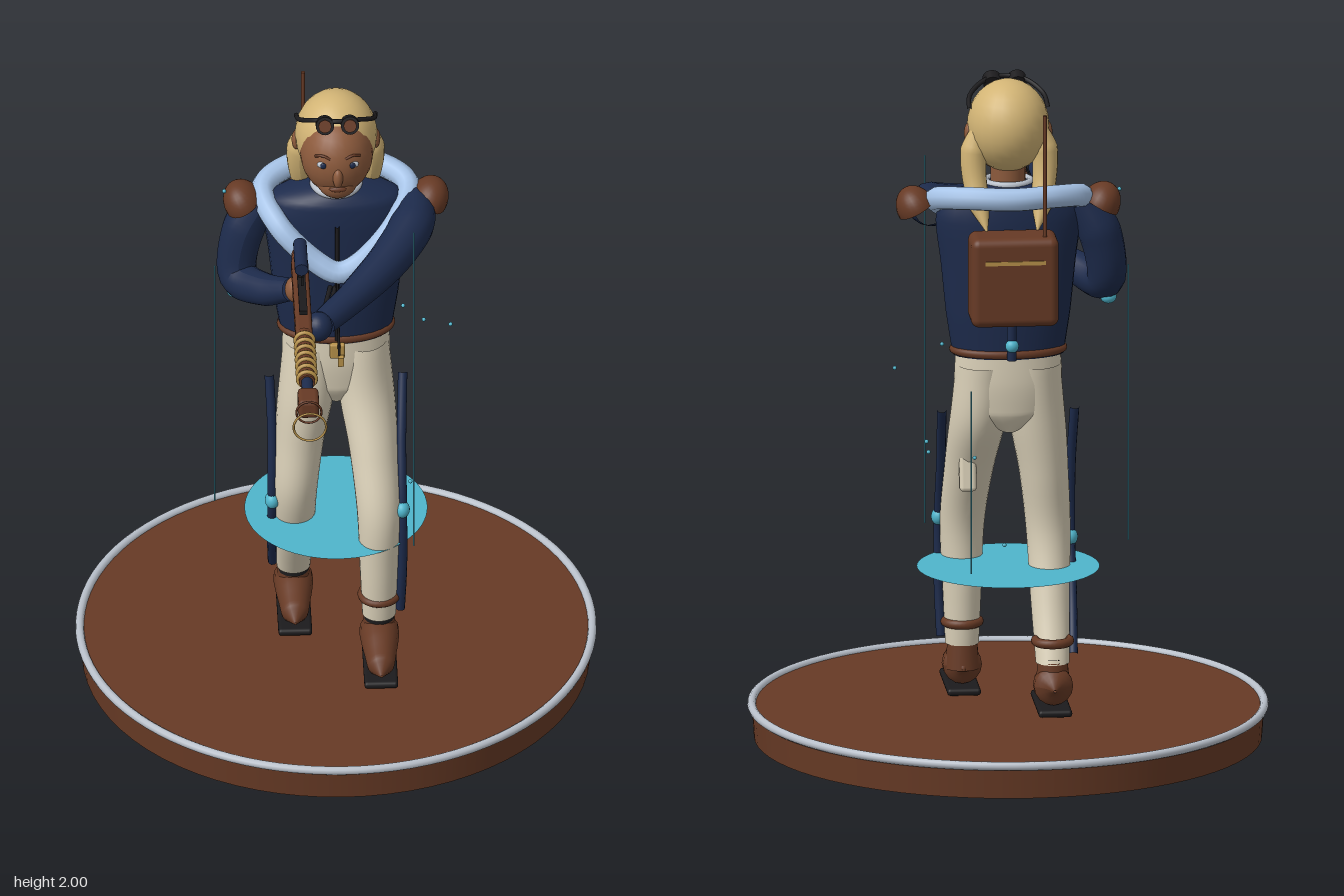
import * as THREE from 'three';
import { RoundedBoxGeometry } from 'three/addons/geometries/RoundedBoxGeometry.js';

const mat = (name, color, side = THREE.FrontSide) => {
  const m = new THREE.MeshStandardMaterial({ color, side });
  m.name = name;
  return m;
};
const V = (p) => new THREE.Vector3(p[0], p[1], p[2]);

export function createModel() {
  const root = new THREE.Group();
  const skin = mat('skin', 0x8c5a3c), hair = mat('hair', 0xd2b475), cream = mat('cream', 0xdad0b8);
  const navy = mat('navy', 0x1d2b4c), brown = mat('brown', 0x673a25, THREE.DoubleSide);
  const teal = mat('teal', 0x4fb5cc, THREE.DoubleSide), blue = mat('lightBlue', 0xa9c6ea);
  const black = mat('black', 0x1c1b1d), gold = mat('gold', 0xb8924a), silver = mat('silver', 0xb9c0ca);

  const add = (name, geo, m, pos = [0, 0, 0], rot = [0, 0, 0], scale = [1, 1, 1]) => {
    const o = new THREE.Mesh(geo, m);
    o.name = name;
    o.position.set(...pos);
    o.rotation.set(...rot);
    o.scale.set(...scale);
    root.add(o);
    return o;
  };
  const ball = (name, m, pos, size) => add(name, new THREE.SphereGeometry(1, 24, 16), m, pos, [0, 0, 0], size);
  const box = (name, m, pos, s, rot) => add(name, new THREE.BoxGeometry(...s), m, pos, rot);
  const rod = (name, m, pos, r, len, rot, r2 = r) =>
    add(name, new THREE.CylinderGeometry(r2, r, len, 20), m, pos, rot);
  const alongZ = [Math.PI / 2, 0, 0];
  const tube = (name, m, pts, r, closed = false, n = 48) =>
    add(name, new THREE.TubeGeometry(new THREE.CatmullRomCurve3(pts.map(V), closed), n, r, 10, closed), m);

  // Tube whose radius follows a list of values from start to end
  const taper = (name, m, pts, radii) => {
    const n = 32, ring = 17, curve = new THREE.CatmullRomCurve3(pts.map(V));
    const g = new THREE.TubeGeometry(curve, n, 1, ring - 1), p = g.attributes.position, v = new THREE.Vector3();
    for (let i = 0; i < p.count; i++) {
      const t = Math.floor(i / ring) / n, f = t * (radii.length - 1), k = Math.min(Math.floor(f), radii.length - 2);
      const c = curve.getPointAt(t);
      v.fromBufferAttribute(p, i).sub(c).multiplyScalar(THREE.MathUtils.lerp(radii[k], radii[k + 1], f - k)).add(c);
      p.setXYZ(i, v.x, v.y, v.z);
    }
    g.computeVertexNormals();
    return add(name, g, m);
  };

  // Smooth stack of level ellipses [x, y, z, rx, rz], lowest first
  const loft = (name, m, rows) => {
    const path = new THREE.CatmullRomCurve3(rows.map(V));
    const size = new THREE.CatmullRomCurve3(rows.map((r) => new THREE.Vector3(r[3], r[4], 0)));
    const n = 30, seg = 28, pos = [], idx = [];
    for (let j = 0; j <= n; j++) {
      const c = path.getPoint(j / n), s = size.getPoint(j / n);
      for (let i = 0; i < seg; i++) {
        const a = (i / seg) * Math.PI * 2;
        pos.push(c.x + s.x * Math.cos(a), c.y, c.z + s.y * Math.sin(a));
        if (j === n) continue;
        const A = j * seg + i, B = j * seg + ((i + 1) % seg);
        idx.push(A, A + seg, B, B, A + seg, B + seg);
      }
    }
    const g = new THREE.BufferGeometry();
    g.setAttribute('position', new THREE.Float32BufferAttribute(pos, 3));
    g.setIndex(idx);
    g.computeVertexNormals();
    return add(name, g, m);
  };

  // Display base with rim, floating disc, light lines and sparks
  rod('base', brown, [0, 0.05, -0.155], 0.757, 0.1).geometry = new THREE.CylinderGeometry(0.757, 0.75, 0.1, 72);
  add('baseRim', new THREE.TorusGeometry(0.757, 0.013, 10, 96), silver, [0, 0.1, -0.155], alongZ);
  add('floatingDisc', new THREE.CircleGeometry(0.27, 64), teal, [0, 0.52, -0.16], [-Math.PI / 2, 0, 0]);
  for (const [x, z, top] of [[-0.36, -0.12, 1.42], [0.22, 0.135, 1.7], [0.14, -0.485, 1.135]])
    rod('lightLine', teal, [x, (top + 0.58) / 2, z], 0.0022, top - 0.58);
  for (const p of [[0.2, 1.21, -0.2], [0.34, 1.14, -0.2], [0.27, 0.98, -0.46], [0.05, 0.69, -0.58],
    [0.13, 0.935, -0.49], [0.21, 0.8, 0.12], [-0.33, 1.66, -0.16]]) ball('spark', teal, p, [0.006, 0.006, 0.006]);

  // Legs, side stripes and boots: [side, ankle z, shin z, knee z, thigh z, foot z, knee y]
  for (const [s, az, cz, kz, tz, fz, ky] of [
    [1, -0.003, 0.0, -0.005, -0.07, 0, 0.63], [-1, -0.262, -0.18, -0.125, -0.132, -0.285, 0.59]]) {
    const x = s * 0.122;
    loft('trouserLeg', cream, [[x, 0.25, az, 0.05, 0.05], [x, 0.43, cz, 0.058, 0.064], [x, 0.62, kz, 0.066, 0.075],
      [s * 0.108, 0.8, tz, 0.073, 0.086], [s * 0.088, 0.97, -0.14, 0.083, 0.097], [s * 0.075, 1.14, -0.16, 0.08, 0.095]]);
    const lx = s * 0.19;
    tube('sideStripe', navy, [[s * 0.197, 1, -0.16], [lx, 0.82, tz + 0.01], [lx, ky, kz + 0.02],
      [lx, 0.43, cz + 0.02], [s * 0.184, 0.27, az + 0.01]], 0.014);
    ball('kneeLight', teal, [lx, ky, kz + 0.022], [0.022, 0.026, 0.026]);
    add('ankleStrap', new THREE.TorusGeometry(0.05, 0.014, 10, 32), brown, [x, 0.315, az], alongZ);
    rod('bootCuff', black, [x, 0.25, az], 0.045, 0.03);
    taper('boot', brown, [[x, 0.18, fz - 0.06], [x, 0.185, fz - 0.04], [x, 0.18, fz + 0.04], [x, 0.165, fz + 0.12],
      [x, 0.15, fz + 0.19]], [0.004, 0.058, 0.058, 0.053, 0.046, 0.04, 0.004]);
    rod('bootAnkle', brown, [x, 0.215, az - 0.005], 0.052, 0.08, [0, 0, 0], 0.044);
    add('sole', new RoundedBoxGeometry(0.1, 0.022, 0.27, 2, 0.01), black, [x, 0.115, fz + 0.055]);
  }
  loft('hips', cream, [[0, 0.94, -0.16, 0.03, 0.06], [0, 1.0, -0.16, 0.14, 0.09], [0, 1.1, -0.16, 0.16, 0.098],
    [0, 1.19, -0.16, 0.155, 0.095]]);
  add('thighPouch', new RoundedBoxGeometry(0.05, 0.12, 0.05, 2, 0.012), cream, [0.12, 0.81, -0.155], [0.15, 0, 0]);

  // Jacket, belt, zip and collar
  loft('jacket', navy, [[0, 1.17, -0.16, 0.165, 0.096], [0, 1.3, -0.16, 0.185, 0.103], [0, 1.45, -0.16, 0.2, 0.105],
    [0, 1.58, -0.16, 0.215, 0.103], [0, 1.65, -0.16, 0.19, 0.095], [0, 1.69, -0.16, 0.08, 0.065], [0, 1.7, -0.16, 0.01, 0.01]]);
  add('belt', new THREE.TorusGeometry(0.163, 0.012, 10, 48), brown, [0, 1.185, -0.16], alongZ, [1, 0.6, 1]);
  add('buckle', new RoundedBoxGeometry(0.045, 0.05, 0.018, 2, 0.006), gold, [0, 1.16, -0.045]);
  box('buckleTab', gold, [0.01, 1.14, -0.02], [0.018, 0.03, 0.018]);
  tube('zip', black, [[0, 1.19, -0.055], [0, 1.32, -0.052], [0, 1.45, -0.048], [0, 1.6, -0.05]], 0.006);
  tube('scarf', blue, [[0, 1.67, -0.305], [0.13, 1.67, -0.275], [0.215, 1.65, -0.19], [0.17, 1.59, -0.07],
    [0.06, 1.48, -0.025], [0, 1.46, -0.015], [-0.06, 1.49, -0.025], [-0.17, 1.59, -0.07], [-0.215, 1.65, -0.19],
    [-0.13, 1.67, -0.275]], 0.035, true, 80);
  rod('neck', skin, [0, 1.72, -0.15], 0.052, 0.12);
  add('neckBand', new THREE.TorusGeometry(0.066, 0.012, 8, 32), silver, [0, 1.69, -0.15], alongZ);

  // Arms and shoulder caps
  taper('leftArm', navy, [[0.23, 1.615, -0.17], [0.23, 1.605, -0.08], [0.16, 1.57, 0.06], [0.05, 1.54, 0.21],
    [-0.055, 1.525, 0.34]], [0.05, 0.066, 0.062, 0.055, 0.046, 0.04]);
  ball('leftGlove', navy, [-0.07, 1.515, 0.345], [0.042, 0.045, 0.042]);
  taper('rightArm', navy, [[-0.22, 1.63, -0.16], [-0.275, 1.52, -0.16], [-0.29, 1.38, -0.13], [-0.22, 1.39, -0.04],
    [-0.14, 1.44, 0.04]], [0.05, 0.064, 0.06, 0.056, 0.048, 0.034]);
  ball('rightHand', skin, [-0.125, 1.455, 0.06], [0.034, 0.042, 0.036]);
  ball('elbowLight', teal, [-0.3, 1.325, -0.13], [0.024, 0.02, 0.024]);
  for (const s of [1, -1]) {
    add('shoulderCap', new THREE.SphereGeometry(0.072, 24, 10, 0, Math.PI * 2, 0, Math.PI / 2), brown,
      [s * 0.272, 1.615, -0.165], [0, 0, -s * 0.5], [0.8, 1, 1]);
  }

  // Head, face and hair
  ball('face', skin, [0, 1.835, -0.1], [0.108, 0.127, 0.115]);
  ball('jaw', skin, [0, 1.765, -0.06], [0.062, 0.055, 0.065]);
  ball('hairCap', hair, [0, 1.862, -0.155], [0.122, 0.138, 0.13]);
  ball('nose', skin, [0, 1.815, 0.012], [0.015, 0.032, 0.018]);
  ball('lips', brown, [0, 1.768, -0.0], [0.026, 0.009, 0.009]);
  for (const s of [1, -1]) {
    ball('eyeWhite', silver, [s * 0.043, 1.855, -0.004], [0.019, 0.011, 0.01]);
    ball('iris', navy, [s * 0.043, 1.855, 0.004], [0.009, 0.01, 0.005]);
    tube('eyebrow', brown, [[s * 0.022, 1.878, 0.003], [s * 0.045, 1.886, -0.003], [s * 0.066, 1.878, -0.016]], 0.004);
    ball('ear', skin, [s * 0.117, 1.84, -0.16], [0.014, 0.032, 0.022]);
    taper('hairTail', hair, [[s * 0.08, 1.88, -0.19], [s * 0.105, 1.79, -0.19], [s * 0.1, 1.68, -0.215],
      [s * 0.075, 1.57, -0.285]], [0.02, 0.04, 0.036, 0.032, 0.003]);
    rod('goggleRim', black, [s * 0.037, 1.968, -0.045], 0.027, 0.035, [Math.PI / 2 - 0.4, 0, 0]);
    rod('goggleLens', brown, [s * 0.037, 1.975, -0.028], 0.019, 0.008, [Math.PI / 2 - 0.4, 0, 0]);
  }
  tube('goggleStrap', black, [[-0.117, 1.915, -0.178], [-0.108, 1.945, -0.11], [-0.06, 1.975, -0.06], [0, 1.982, -0.042],
    [0.06, 1.975, -0.06], [0.108, 1.945, -0.11], [0.117, 1.915, -0.178]], 0.007);

  // Backpack with trim, antenna and hanging light
  add('backpack', new RoundedBoxGeometry(0.26, 0.27, 0.14, 4, 0.025), brown, [0, 1.437, -0.327]);
  box('packTrim', gold, [0, 1.5, -0.398], [0.18, 0.012, 0.006]);
  rod('antenna', brown, [-0.09, 1.745, -0.365], 0.006, 0.39);
  rod('packTube', navy, [0, 1.24, -0.28], 0.014, 0.13);
  ball('packLight', teal, [0, 1.22, -0.285], [0.02, 0.02, 0.02]);

  // Rifle, pointing forward
  const X = -0.115;
  add('rifleBody', new RoundedBoxGeometry(0.05, 0.065, 0.4, 2, 0.012), brown, [X, 1.535, 0.25]);
  add('rifleStock', new RoundedBoxGeometry(0.045, 0.1, 0.1, 2, 0.015), brown, [X, 1.515, 0.05]);
  rod('barrelSleeve', brown, [X, 1.55, 0.56], 0.024, 0.25, alongZ);
  for (let i = 0; i < 7; i++)
    add('barrelCoil', new THREE.TorusGeometry(0.026, 0.007, 8, 24), gold, [X, 1.55, 0.465 + i * 0.034]);
  rod('barrel', navy, [X, 1.552, 0.715], 0.017, 0.09, alongZ);
  add('muzzle', new RoundedBoxGeometry(0.062, 0.062, 0.085, 2, 0.014), brown, [X, 1.552, 0.795]);
  add('innerRing', new THREE.TorusGeometry(0.037, 0.0035, 6, 40), brown, [X, 1.552, 0.845]);
  add('outerRing', new THREE.TorusGeometry(0.048, 0.0035, 6, 40), gold, [X, 1.552, 0.922]);
  box('topRail', black, [X, 1.592, 0.25], [0.024, 0.014, 0.27]);
  rod('scope', navy, [X, 1.632, 0.15], 0.02, 0.14, alongZ);
  for (const z of [0.1, 0.2]) box('scopeMount', black, [X, 1.607, z], [0.016, 0.03, 0.018]);
  box('frontSight', black, [X, 1.632, 0.275], [0.006, 0.03, 0.008]);
  box('energyStrip', teal, [X, 1.518, 0.5], [0.03, 0.01, 0.13]);
  box('magazine', brown, [X, 1.42, 0.16], [0.034, 0.17, 0.045], [-0.12, 0, 0]);
  box('pistolGrip', brown, [X, 1.47, 0.06], [0.032, 0.1, 0.04], [0.25, 0, 0]);
  box('foreGrip', brown, [X, 1.475, 0.4], [0.028, 0.075, 0.03], [-0.15, 0, 0]);
  add('foreGripBand', new RoundedBoxGeometry(0.034, 0.012, 0.036, 1, 0.003), gold, [X, 1.462, 0.4]);
  for (const [x, sag] of [[-0.06, 0], [-0.045, 0.025]])
    tube('cable', black, [[x - 0.03, 1.5, 0.36], [x, 1.46 - sag, 0.27], [x + 0.01, 1.4 - sag / 2, 0.13],
      [x + 0.02, 1.365, 0.03], [x + 0.04, 1.38, -0.06]], 0.007);
  tube('hangingCord', black, [[0, 1.42, -0.03], [0, 1.33, -0.025], [0.003, 1.24, -0.03], [0.005, 1.16, -0.02]], 0.004);
  return root;
}
